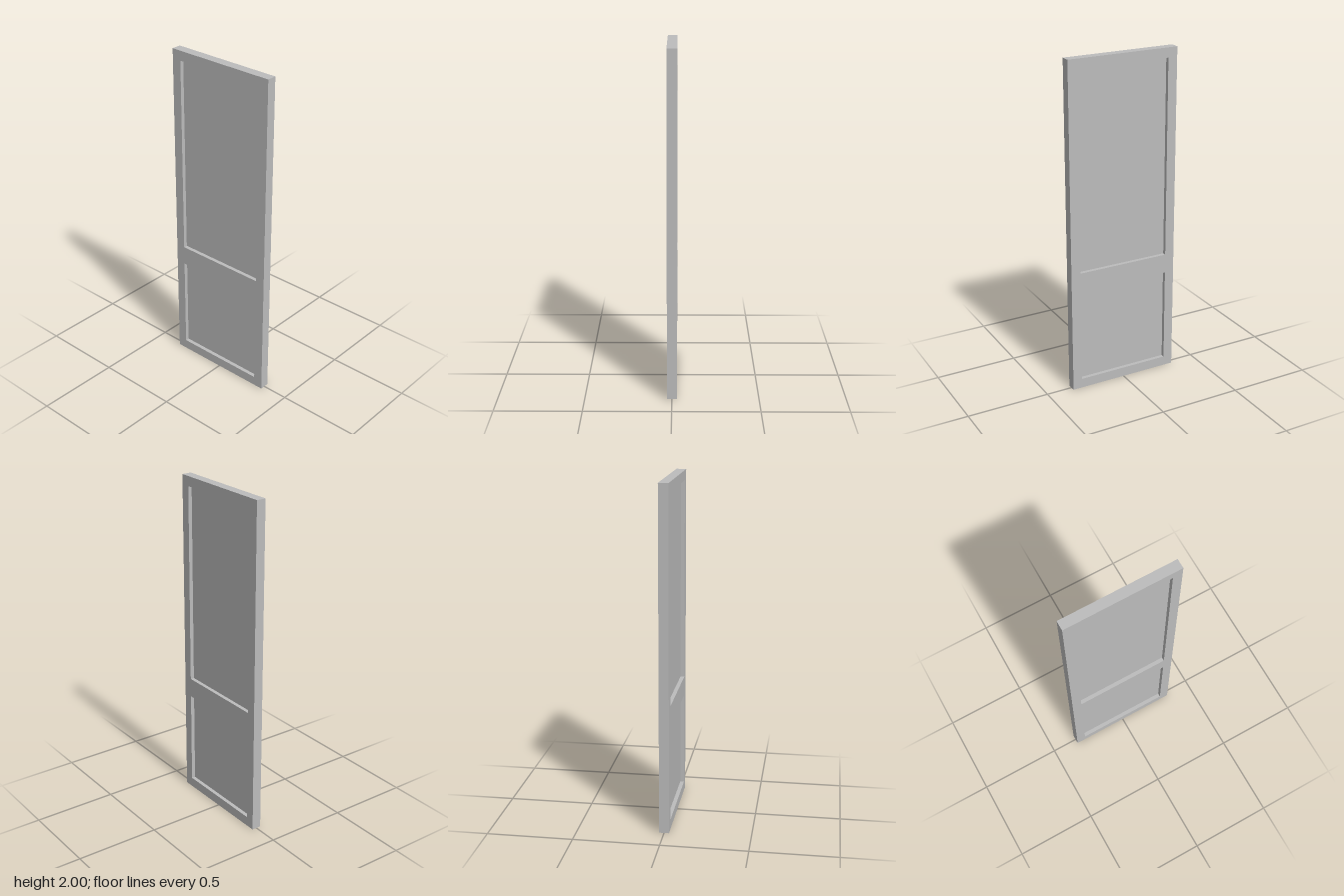
import * as THREE from 'three';

const W = 0.682, H = 2, D = 0.057;   // overall door leaf
const OPEN_W = 0.568;                // width of both recesses
const PANEL_D = 0.011;               // thin infill panels, centred in the frame
const OPENINGS = [
  { name: 'lowerPanel', y0: 0.058, y1: 0.631 },
  { name: 'upperPanel', y0: 0.748, y1: 1.942 },
];

// Rectangle outline, centred on x = 0
function rect(PathType, w, y0, y1) {
  const p = new PathType();
  p.moveTo(-w / 2, y0);
  p.lineTo(w / 2, y0);
  p.lineTo(w / 2, y1);
  p.lineTo(-w / 2, y1);
  p.closePath();
  return p;
}

export function createModel() {
  const door = new THREE.Group();
  door.name = 'panelDoor';

  const paint = new THREE.MeshStandardMaterial({ color: 0xbcbcbc });
  paint.name = 'greyPaint';

  // Stiles and rails as one frame with two openings
  const outline = rect(THREE.Shape, W, 0, H);
  outline.holes = OPENINGS.map((o) => rect(THREE.Path, OPEN_W, o.y0, o.y1));
  const frameGeometry = new THREE.ExtrudeGeometry(outline, { depth: D, bevelEnabled: false });
  frameGeometry.translate(0, 0, -D / 2);
  const frame = new THREE.Mesh(frameGeometry, paint);
  frame.name = 'frame';
  door.add(frame);

  // Infill panels, recessed on both faces
  for (const { name, y0, y1 } of OPENINGS) {
    const panel = new THREE.Mesh(new THREE.BoxGeometry(OPEN_W, y1 - y0, PANEL_D), paint);
    panel.position.y = (y0 + y1) / 2;
    panel.name = name;
    door.add(panel);
  }

  return door;
}
